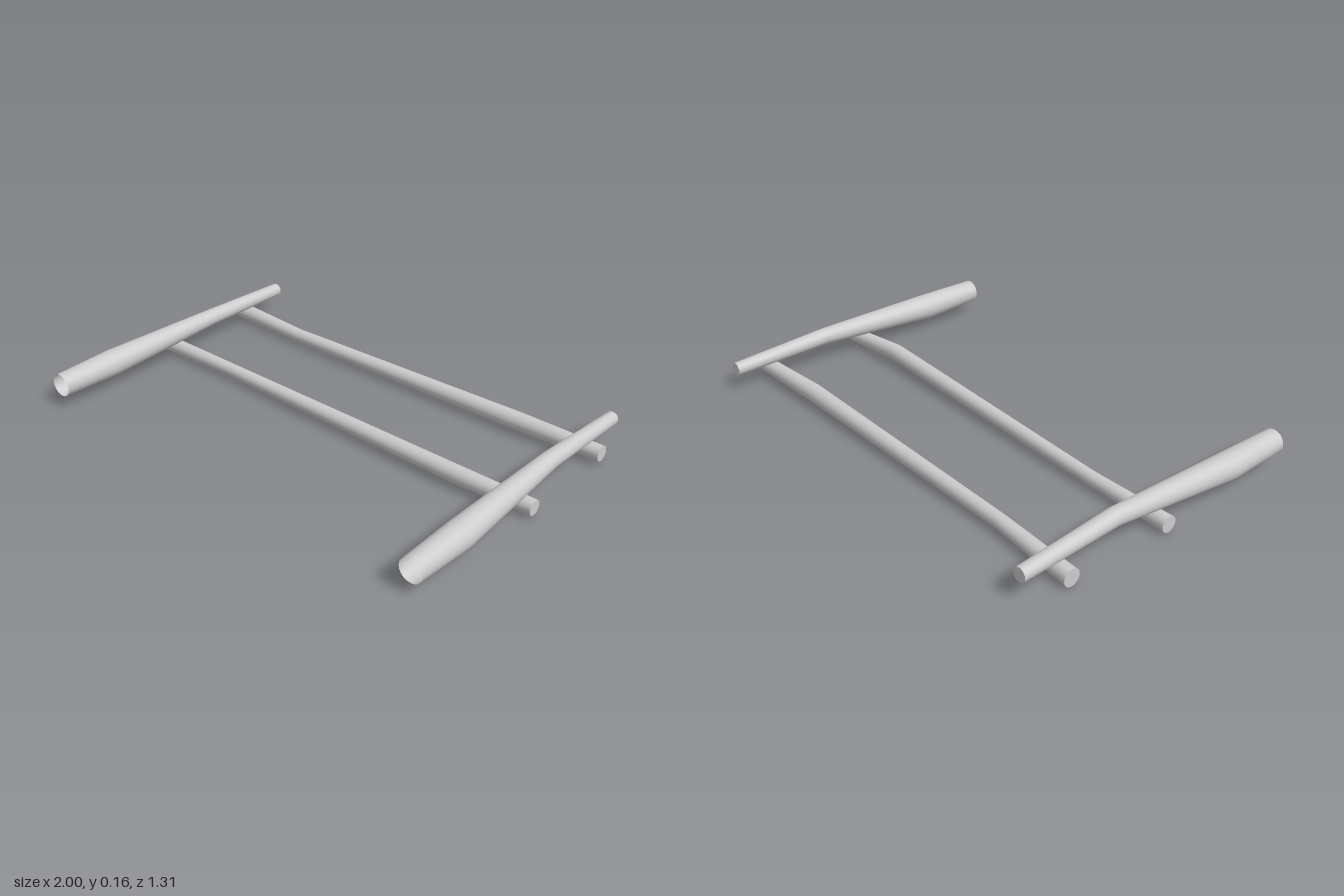
import * as THREE from 'three';

const material = new THREE.MeshStandardMaterial({ color: 0xcccccc, side: THREE.DoubleSide });

// Crooked round log along 'x' or 'z'; each station is [along, sideways, height, radius].
function log(name, axis, stations, open) {
  const n = stations.length - 1;
  const geo = new THREE.CylinderGeometry(1, 1, 1, 20, n, open);
  if (axis === 'x') geo.rotateZ(-Math.PI / 2);
  else geo.rotateX(Math.PI / 2);
  const pos = geo.attributes.position;
  for (let i = 0; i < pos.count; i++) {
    const x = pos.getX(i), y = pos.getY(i), z = pos.getZ(i);
    const u = axis === 'x' ? x : z;
    const [along, side, height, r] = stations[Math.round((u + 0.5) * n)];
    if (axis === 'x') pos.setXYZ(i, along, height + y * r, side + z * r);
    else pos.setXYZ(i, side + x * r, height + y * r, along);
  }
  const mesh = new THREE.Mesh(geo, material);
  mesh.name = name;
  return mesh;
}

// Side pole: hollow at the thick front end, closed at the thin back end.
function pole(name, stations) {
  const group = new THREE.Group();
  group.name = name;
  group.add(log(name + 'Shaft', 'z', stations, true));
  const [z, x, y, r] = stations[0];
  const cap = new THREE.Mesh(new THREE.CircleGeometry(r, 20).rotateY(Math.PI), material);
  cap.name = name + 'BackCap';
  cap.position.set(x, y, z);
  group.add(cap);
  return group;
}

export function createModel() {
  const model = new THREE.Group();
  model.name = 'poleFrame';

  // Side poles, back to front
  model.add(pole('rightPole', [
    [-0.655, -0.938, 0.103, 0.03], [-0.2, -0.922, 0.122, 0.037],
    [0.38, -0.942, 0.103, 0.058], [0.655, -0.938, 0.105, 0.05],
  ]));
  model.add(pole('leftPole', [
    [-0.655, 0.934, 0.102, 0.029], [-0.2, 0.93, 0.122, 0.037],
    [0.38, 0.934, 0.098, 0.059], [0.655, 0.934, 0.102, 0.051],
  ]));

  // Crossbars under the poles, from -x to +x
  model.add(log('frontCrossbar', 'x', [
    [-1, 0.002, 0.038, 0.034], [-0.6, -0.002, 0.04, 0.029],
    [0.7, 0.03, 0.053, 0.037], [1, 0.004, 0.04, 0.032],
  ], false));
  model.add(log('backCrossbar', 'x', [
    [-1, -0.474, 0.038, 0.036], [-0.6, -0.45, 0.04, 0.03],
    [0.62, -0.459, 0.05, 0.039], [1, -0.475, 0.045, 0.033],
  ], false));

  return model;
}
